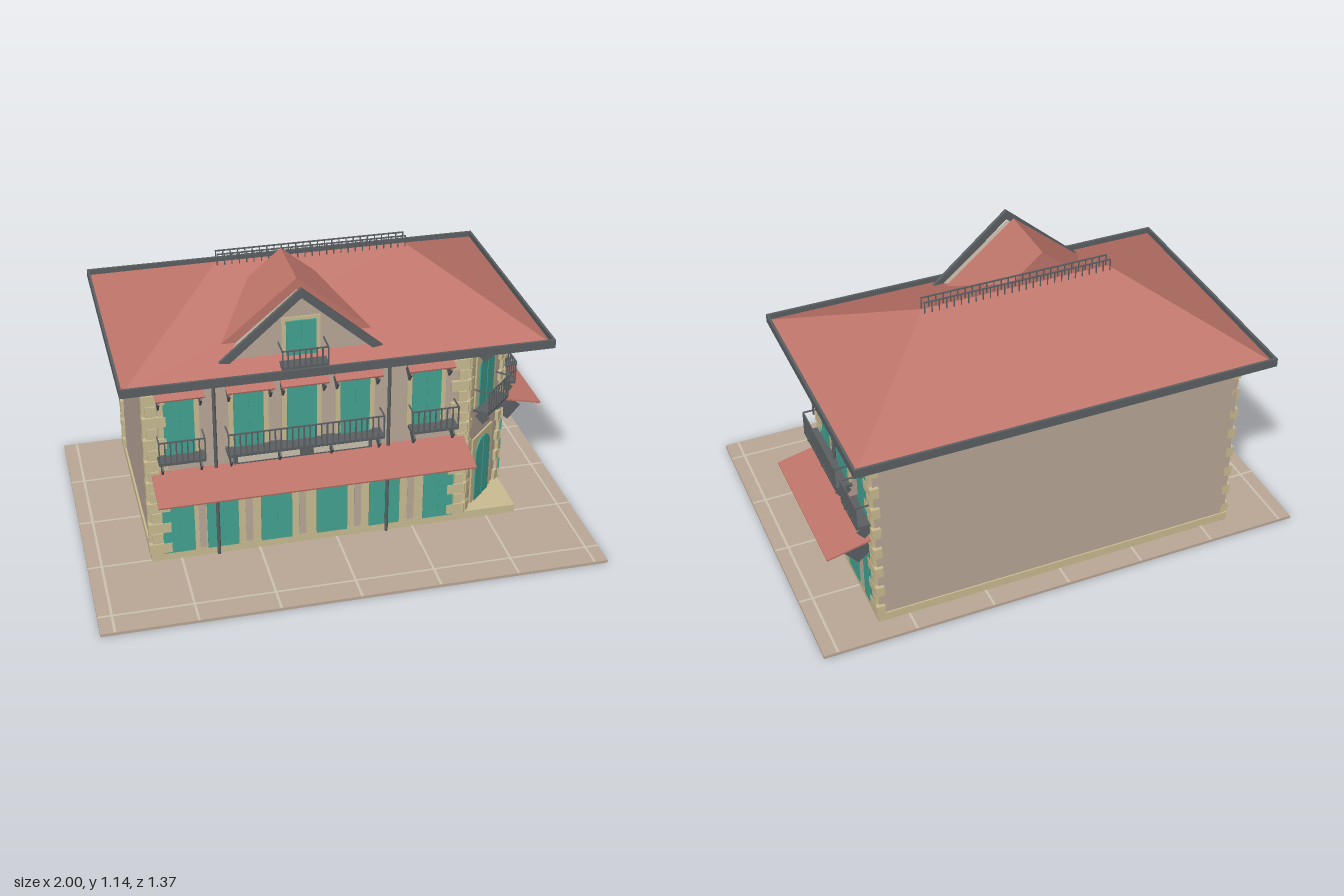
import * as THREE from 'three';
import { mergeGeometries } from 'three/addons/utils/BufferGeometryUtils.js';

const mat = (name, color, extra = {}) => new THREE.MeshStandardMaterial({ name, color, ...extra });

export function createModel() {
  const red = mat('terracotta', 0xbf756a, { flatShading: true });
  const wall = mat('stucco', 0xbaa799);
  const stone = mat('stone', 0xcabc92);
  const green = mat('shutterGreen', 0x42a292);
  const iron = mat('iron', 0x5c6062);
  const paving = mat('paving', 0xbaa797);
  const joint = mat('joint', 0xcbc2b0);

  const model = new THREE.Group();
  model.name = 'cornerHouse';

  // Box from min/max extents
  const boxGeo = (x0, x1, y0, y1, z0, z1) =>
    new THREE.BoxGeometry(x1 - x0, y1 - y0, z1 - z0).translate((x0 + x1) / 2, (y0 + y1) / 2, (z0 + z1) / 2);
  const add = (parent, name, geo, material) => {
    const m = new THREE.Mesh(Array.isArray(geo) ? mergeGeometries(geo) : geo, material);
    m.name = name;
    parent.add(m);
    return m;
  };
  const extrude = (pts, depth) => new THREE.ExtrudeGeometry(
    new THREE.Shape(pts.map(p => new THREE.Vector2(...p))), { depth, bevelEnabled: false });

  // Paved ground with joints
  add(model, 'pavement', boxGeo(-1, 1, 0, 0.012, -0.68, 0.68), paving);
  const joints = [];
  for (let x = -0.945; x < 1; x += 0.315) joints.push(boxGeo(x - 0.005, x + 0.005, 0.011, 0.0135, -0.68, 0.68));
  for (let z = -0.37; z < 0.68; z += 0.316) joints.push(boxGeo(-1, 1, 0.011, 0.0135, z - 0.005, z + 0.005));
  add(model, 'pavementJoints', joints, joint);

  // Walls with one cut corner, on a rectangular plinth
  const X0 = -0.74, X1 = 0.745, ZF = 0.265, ZB = -0.585;
  const body = extrude([[X0, -ZF], [0.525, -ZF], [X1, -0.045], [X1, -ZB], [X0, -ZB]], 0.805);
  add(model, 'walls', body.rotateX(-Math.PI / 2).translate(0, 0.015, 0), wall);
  add(model, 'plinth', boxGeo(X0 - 0.008, X1 + 0.008, 0.01, 0.048, ZB - 0.006, ZF + 0.008), stone);

  // Facade groups: local x runs along the wall, local z points outward
  const facade = (name, x, z, angle) => {
    const g = new THREE.Group();
    g.name = name;
    g.position.set(x, 0, z);
    g.rotation.y = angle;
    model.add(g);
    return g;
  };
  const front = facade('frontFacade', 0, ZF, 0);
  const side = facade('sideFacade', X1, 0, Math.PI / 2);
  const corner = facade('cornerFacade', 0.635, 0.155, Math.PI / 4);

  // Pair of shutter leaves on a backing panel
  const shutters = (f, u, w, y0, y1) => add(f, 'shutters', [
    boxGeo(u - w / 2, u + w / 2, y0, y1, 0, 0.009),
    boxGeo(u - w / 2, u - 0.0015, y0, y1, 0.009, 0.012),
    boxGeo(u + 0.0015, u + w / 2, y0, y1, 0.009, 0.012)], green);

  // Thin square bracket plates standing on one corner
  const brackets = (f, us, y, z, s) => add(f, 'brackets', us.map(u =>
    new THREE.BoxGeometry(0.007, s, s).rotateX(0.7).translate(u, y, z)), iron);

  // Sloping awning from the wall
  const awning = (f, u0, u1, yTop, drop, reach) => {
    const g = new THREE.BoxGeometry(u1 - u0, 0.007, Math.hypot(drop, reach));
    g.rotateX(Math.atan2(drop, reach)).translate((u0 + u1) / 2, yTop - drop / 2, reach / 2);
    add(f, 'awning', g, red);
  };
  const smallAwning = (f, u, half) => {
    awning(f, u - half, u + half, 0.798, 0.027, 0.08);
    brackets(f, [u - half + 0.012, u + half - 0.012], 0.747, 0.032, 0.05);
  };

  // Balcony: slab, rail on three sides, balusters along the front
  const balcony = (f, u0, u1, y, h, d, props) => {
    const t = 0.005, parts = [
      boxGeo(u0, u1, y, y + 0.012, 0, d),
      boxGeo(u0, u1, y + h - t, y + h, d - t, d),
      boxGeo(u0, u0 + t, y + h - t, y + h, 0, d),
      boxGeo(u1 - t, u1, y + h - t, y + h, 0, d)];
    const n = Math.round((u1 - u0) / 0.023);
    for (let i = 0; i <= n; i++) {
      const u = u0 + t / 2 + (u1 - u0 - t) * i / n;
      parts.push(boxGeo(u - t / 2, u + t / 2, y, y + h, d - t, d));
    }
    add(f, 'balcony', parts, iron);
    if (props) brackets(f, props, y - 0.027, 0.032, 0.045);
  };

  const upperWindow = (f, u, w, half) => {
    add(f, 'windowSurround', boxGeo(u - w / 2 - 0.02, u + w / 2 + 0.02, 0.49, 0.77, 0, 0.007), stone);
    shutters(f, u, w, 0.495, 0.742);
    smallAwning(f, u, half);
  };

  // Ground-floor stone front with shutters and plaster strips
  const groundFloor = (f, u0, u1, doors, w, strips) => {
    add(f, 'stoneFront', boxGeo(u0, u1, 0.04, 0.352, 0, 0.007), stone);
    doors.forEach(u => shutters(f, u, w, 0.045, 0.333));
    add(f, 'plasterStrips', strips.map(u => boxGeo(u - 0.014, u + 0.014, 0.05, 0.34, 0, 0.01)), wall);
  };

  // Alternating long and short corner stones
  const quoins = (f, u, dir, long, short) => {
    const parts = [], rows = 16, h = 0.765 / rows;
    for (let i = 0; i < rows; i++) {
      const a = u - dir * (i % 2 ? 0 : 0.015), b = u + dir * (i % 2 ? short : long);
      parts.push(boxGeo(Math.min(a, b), Math.max(a, b), 0.05 + i * h, 0.05 + (i + 1) * h - 0.004, -0.02, 0.014));
    }
    add(f, 'quoins', parts, stone);
  };

  const downpipe = (f, u) => add(f, 'downpipe',
    new THREE.CylinderGeometry(0.007, 0.007, 0.81, 8).translate(u, 0.417, 0.012), iron);

  // Front facade
  groundFloor(front, -0.73, 0.515, [-0.635, -0.46, -0.245, -0.02, 0.195, 0.42], 0.125, [-0.54, -0.355, -0.14, 0.085, 0.305]);
  [-0.615, -0.348, -0.14, 0.07, 0.357].forEach(u => upperWindow(front, u, 0.116, 0.092));
  balcony(front, -0.705, -0.525, 0.485, 0.103, 0.068, [-0.69, -0.54]);
  balcony(front, -0.44, 0.175, 0.485, 0.103, 0.068, [-0.425, -0.235, -0.03, 0.16]);
  balcony(front, 0.285, 0.475, 0.485, 0.103, 0.068, [0.3, 0.46]);
  awning(front, -0.73, 0.515, 0.417, 0.042, 0.188);
  brackets(front, [-0.685, -0.43, -0.18, 0.075, 0.325], 0.352, 0.052, 0.08);
  add(front, 'fascia', boxGeo(-0.41, 0.14, 0.418, 0.46, 0, 0.012), iron);
  add(front, 'fasciaPanels', [boxGeo(-0.395, -0.15, 0.426, 0.45, 0, 0.015), boxGeo(-0.095, 0.125, 0.426, 0.45, 0, 0.015)], joint);
  [-0.48, 0.205].forEach(u => downpipe(front, u));
  quoins(front, X0, 1, 0.075, 0.04);
  quoins(front, 0.522, -1, 0.065, 0.035);

  // Side facade
  groundFloor(side, -0.045, 0.575, [0, 0.15, 0.328, 0.508], 0.118, [0.07, 0.24, 0.418]);
  [0.045, 0.252, 0.495].forEach(u => upperWindow(side, u, 0.114, 0.086));
  balcony(side, -0.04, 0.34, 0.485, 0.103, 0.068, [-0.02, 0.15, 0.32]);
  balcony(side, 0.405, 0.58, 0.485, 0.103, 0.068, [0.42, 0.565]);
  awning(side, -0.035, 0.575, 0.417, 0.042, 0.185);
  brackets(side, [0, 0.165, 0.36, 0.54], 0.352, 0.052, 0.08);
  downpipe(side, 0.165);
  quoins(side, -0.045, 1, 0.068, 0.04);
  quoins(side, 0.583, -1, 0.065, 0.035);

  // Stones returning on the blank left wall
  const left = facade('leftWall', X0, 0, -Math.PI / 2);
  quoins(left, ZB + 0.015, 1, 0.035, 0.02);
  quoins(left, ZF, -1, 0.035, 0.02);

  // Cut corner: arched door below, arched window with balcony above
  const arch = (w, y0, y1) => {
    const s = new THREE.Shape(), r = w / 2;
    s.moveTo(-r, y0).lineTo(r, y0).lineTo(r, y1 - r).absarc(0, y1 - r, r, 0, Math.PI, false).lineTo(-r, y0);
    return new THREE.ExtrudeGeometry(s, { depth: 0.012, bevelEnabled: false, curveSegments: 16 });
  };
  [[0.048, 0.333, 0.352, 'archedDoor'], [0.49, 0.737, 0.77, 'archedWindow']].forEach(([y0, y1, top, name]) => {
    add(corner, name + 'Surround', boxGeo(-0.088, 0.088, y0, top, 0, 0.007), stone);
    add(corner, name, arch(0.122, y0, y1), green);
    add(corner, name + 'Post', boxGeo(-0.002, 0.002, y0, y1, 0, 0.0145), green);
  });
  smallAwning(corner, 0, 0.088);
  balcony(corner, -0.09, 0.09, 0.485, 0.103, 0.068, [-0.067, 0.067]);
  quoins(corner, -0.152, 1, 0.03, 0.015);
  quoins(corner, 0.152, -1, 0.03, 0.015);

  // Soffit and gutter
  const EX = 0.84, EF = 0.362, EB = -0.685, t = 0.01;
  add(model, 'soffit', boxGeo(-EX, EX, 0.815, 0.824, EB, EF), iron);
  add(model, 'gutter', [
    boxGeo(-EX, EX, 0.815, 0.85, EF - t, EF), boxGeo(-EX, EX, 0.815, 0.85, EB, EB + t),
    boxGeo(-EX, -EX + t, 0.815, 0.85, EB, EF), boxGeo(EX - t, EX, 0.815, 0.85, EB, EF)], iron);

  // Hipped roof
  const A = [-0.835, 0.825, 0.357], B = [0.835, 0.825, 0.357], C = [0.835, 0.825, -0.68], D = [-0.835, 0.825, -0.68];
  const L = [-0.38, 1.075, -0.162], R = [0.38, 1.075, -0.162];
  const roof = new THREE.BufferGeometry();
  roof.setAttribute('position', new THREE.Float32BufferAttribute(
    [A, B, R, A, R, L, B, C, R, C, D, L, C, L, R, D, A, L].flat(), 3));
  roof.computeVertexNormals();
  add(model, 'roof', roof, red);

  // Ridge railing, two parallel rows
  const rail = [];
  for (const z of [-0.145, -0.18]) {
    rail.push(boxGeo(-0.38, 0.38, 1.11, 1.115, z - 0.0025, z + 0.0025));
    for (let i = 0; i <= 26; i++) {
      const x = -0.378 + i * 0.756 / 26;
      rail.push(boxGeo(x - 0.002, x + 0.002, 1.06, 1.112, z - 0.002, z + 0.002));
    }
  }
  add(model, 'ridgeRailing', rail, iron);

  // Dormer
  const dormer = facade('dormer', -0.14, 0, 0);
  const gable = (apex, half, z0, z1) => extrude([[-half, 0.85], [half, 0.85], [0, apex]], z1 - z0).translate(0, 0, z0);
  add(dormer, 'dormerRoof', gable(1.145, 0.355, -0.08, 0.195), red);
  add(dormer, 'dormerWall', gable(1.1, 0.3, 0.15, 0.262), wall);
  add(dormer, 'bargeBoards', extrude(
    [[-0.315, 0.868], [-0.275, 0.862], [0, 1.103], [0.275, 0.862], [0.315, 0.868], [0, 1.142]], 0.015).translate(0, 0, 0.264), iron);
  const face = new THREE.Group();
  face.name = 'dormerWindow';
  face.position.z = 0.262;
  dormer.add(face);
  add(face, 'dormerSurround', boxGeo(-0.075, 0.075, 0.85, 1.022, 0, 0.005), stone);
  shutters(face, 0, 0.116, 0.85, 1.008);
  balcony(face, -0.09, 0.09, 0.845, 0.08, 0.083);

  return model;
}
